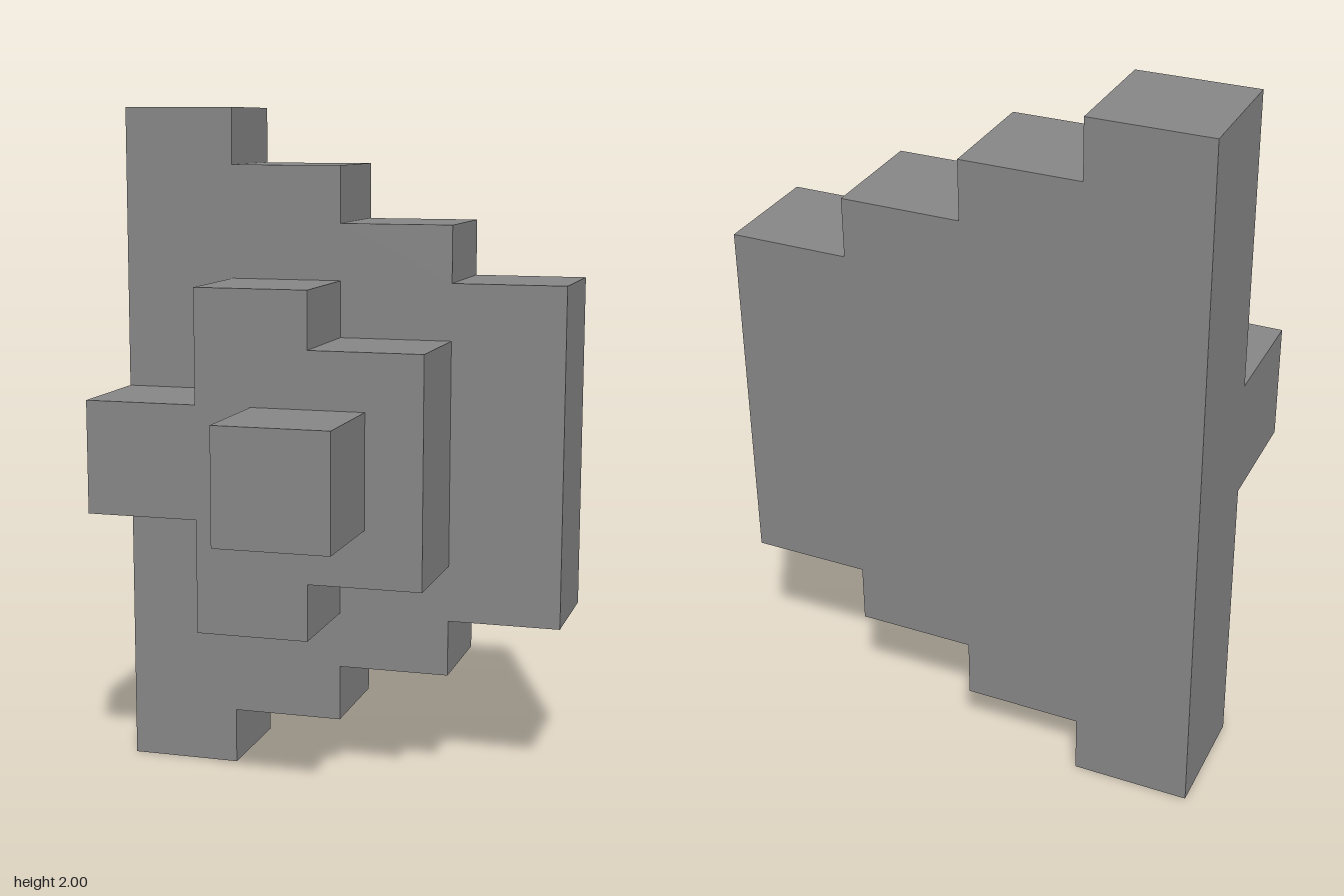
import * as THREE from 'three';

const U = 1 / 3; // width of one column and depth of one layer
const MID = 1; // height of the horizontal symmetry line

// Stepped slab: adjoining columns mirrored about MID, given by half-heights
function steppedLayer(name, left, back, halfHeights, material) {
  const upper = [];
  halfHeights.forEach((h, i) => {
    upper.push([left + i * U, h], [left + (i + 1) * U, h]);
  });
  const lower = upper.map(([x, h]) => [x, -h]);
  const outline = [...lower, ...upper.reverse()];
  const shape = new THREE.Shape(outline.map(([x, y]) => new THREE.Vector2(x, MID + y)));
  const geometry = new THREE.ExtrudeGeometry(shape, { depth: U, bevelEnabled: false });
  const mesh = new THREE.Mesh(geometry, material);
  mesh.position.z = back;
  mesh.name = name;
  return mesh;
}

export function createModel() {
  const group = new THREE.Group();
  group.name = 'steppedBlock';
  const material = new THREE.MeshStandardMaterial({ color: 0x868686, flatShading: true });

  group.add(
    // Large plate, stepping down towards +x
    steppedLayer('backPlate', -2 * U, -1.5 * U, [1, 5 / 6, 2 / 3, 1 / 2], material),
    // Smaller plate with a narrow arm on the -x side
    steppedLayer('middlePlate', -2 * U, -0.5 * U, [1 / 6, 1 / 2, 1 / 3], material),
    // Single cube at the front
    steppedLayer('frontCube', -0.5 * U, 0.5 * U, [1 / 6], material)
  );
  return group;
}
